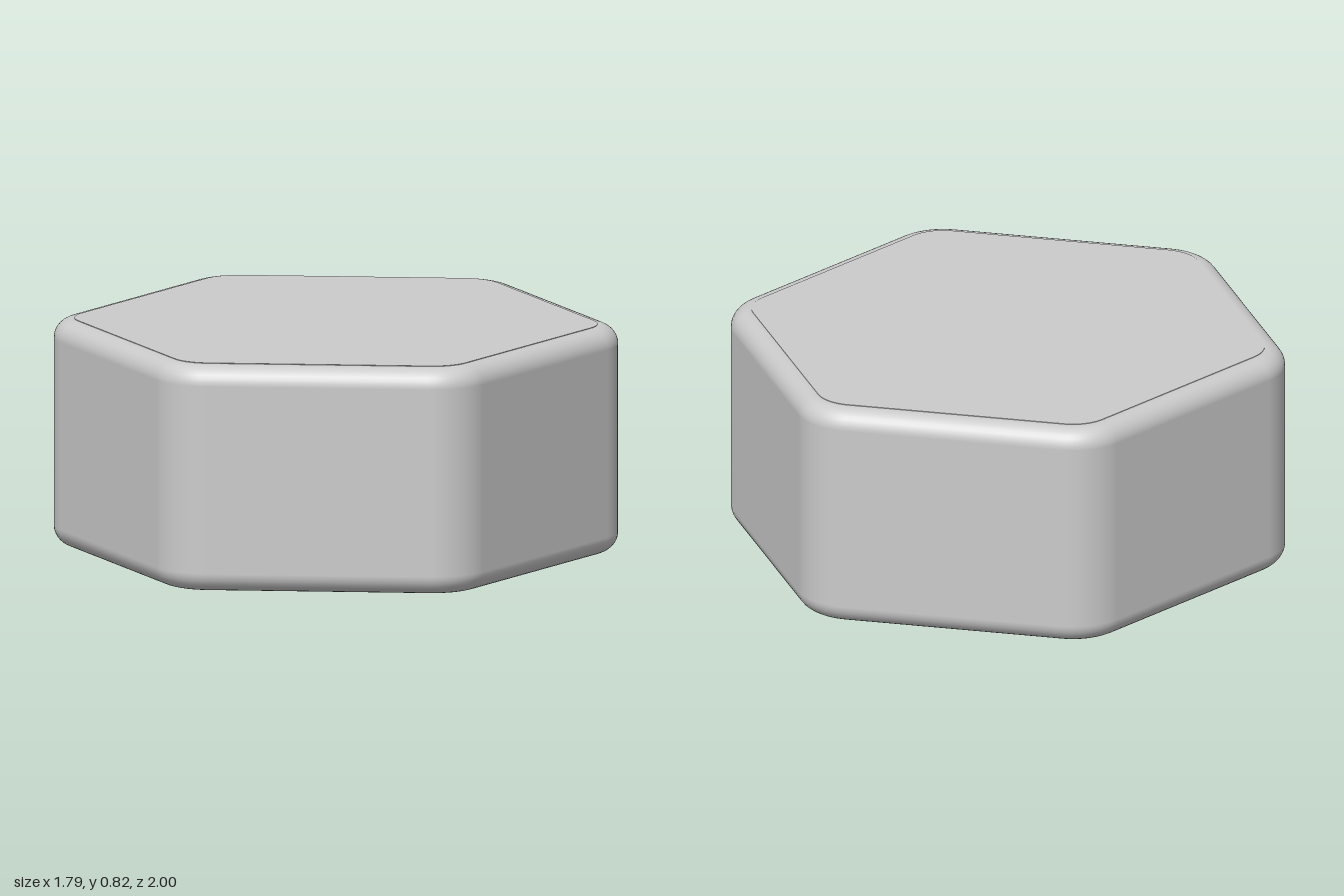
import * as THREE from 'three';

const APOTHEM = 0.895, CORNER = 0.215, HEIGHT = 0.814, BEVEL = 0.07, STEPS = 10;

// Rounded hexagon, points toward +z and -z, shrunk inward by inset.
// Each entry holds a position and its outward direction.
function hexOutline(inset) {
  const r = CORNER - inset, centre = (APOTHEM - CORNER) / Math.cos(Math.PI / 6);
  const points = [];
  for (let i = 0; i < 6; i++) {
    const mid = Math.PI / 2 + i * Math.PI / 3;
    for (let j = 0; j <= STEPS; j++) {
      const a = mid + (j / STEPS - 0.5) * Math.PI / 3;
      const nx = Math.cos(a), nz = Math.sin(a);
      points.push({ x: centre * Math.cos(mid) + r * nx, z: centre * Math.sin(mid) + r * nz, nx, nz });
    }
  }
  return points;
}

// Sweep a closed profile of [inset, y, normalAngle] around the hexagon
function sweep(profile) {
  const pos = [], nor = [], index = [];
  const n = 6 * (STEPS + 1);
  for (const [inset, y, a] of profile) {
    for (const p of hexOutline(inset)) {
      pos.push(p.x, y, p.z);
      nor.push(p.nx * Math.cos(a), Math.sin(a), p.nz * Math.cos(a));
    }
  }
  for (let k = 0; k < profile.length; k++) {
    const k2 = (k + 1) % profile.length;
    for (let i = 0; i < n; i++) {
      const i2 = (i + 1) % n;
      const a = k * n + i, b = k * n + i2, c = k2 * n + i, d = k2 * n + i2;
      index.push(a, c, b, b, c, d);
    }
  }
  const g = new THREE.BufferGeometry();
  g.setAttribute('position', new THREE.Float32BufferAttribute(pos, 3));
  g.setAttribute('normal', new THREE.Float32BufferAttribute(nor, 3));
  g.setIndex(index);
  return g;
}

export function createModel() {
  const group = new THREE.Group();
  const material = new THREE.MeshStandardMaterial({ color: 0xcccccc });

  // Wall: rounded outer edges, straight inside with softly shaded rims
  const profile = [];
  for (let i = 0; i <= 8; i++) {
    const a = -Math.PI / 2 + i * Math.PI / 16;
    profile.push([BEVEL * (1 - Math.cos(a)), BEVEL * (1 + Math.sin(a)), a]);
  }
  for (let i = 0; i <= 8; i++) {
    const a = i * Math.PI / 16;
    profile.push([BEVEL * (1 - Math.cos(a)), HEIGHT - BEVEL * (1 - Math.sin(a)), a]);
  }
  profile.push([0.08, HEIGHT, Math.PI * 0.75], [0.08, 0, Math.PI * 1.25]);
  const wall = new THREE.Mesh(sweep(profile), material);
  wall.name = 'wall';

  // Lid: flat plate closing the top, the underside stays open
  const shape = new THREE.Shape(hexOutline(0.073).map(p => new THREE.Vector2(p.x, p.z)));
  const plate = new THREE.ExtrudeGeometry(shape, { depth: 0.045, bevelEnabled: false });
  plate.rotateX(-Math.PI / 2).translate(0, HEIGHT + 0.002 - 0.045, 0);
  const lid = new THREE.Mesh(plate, material);
  lid.name = 'lid';

  group.add(wall, lid);
  return group;
}
